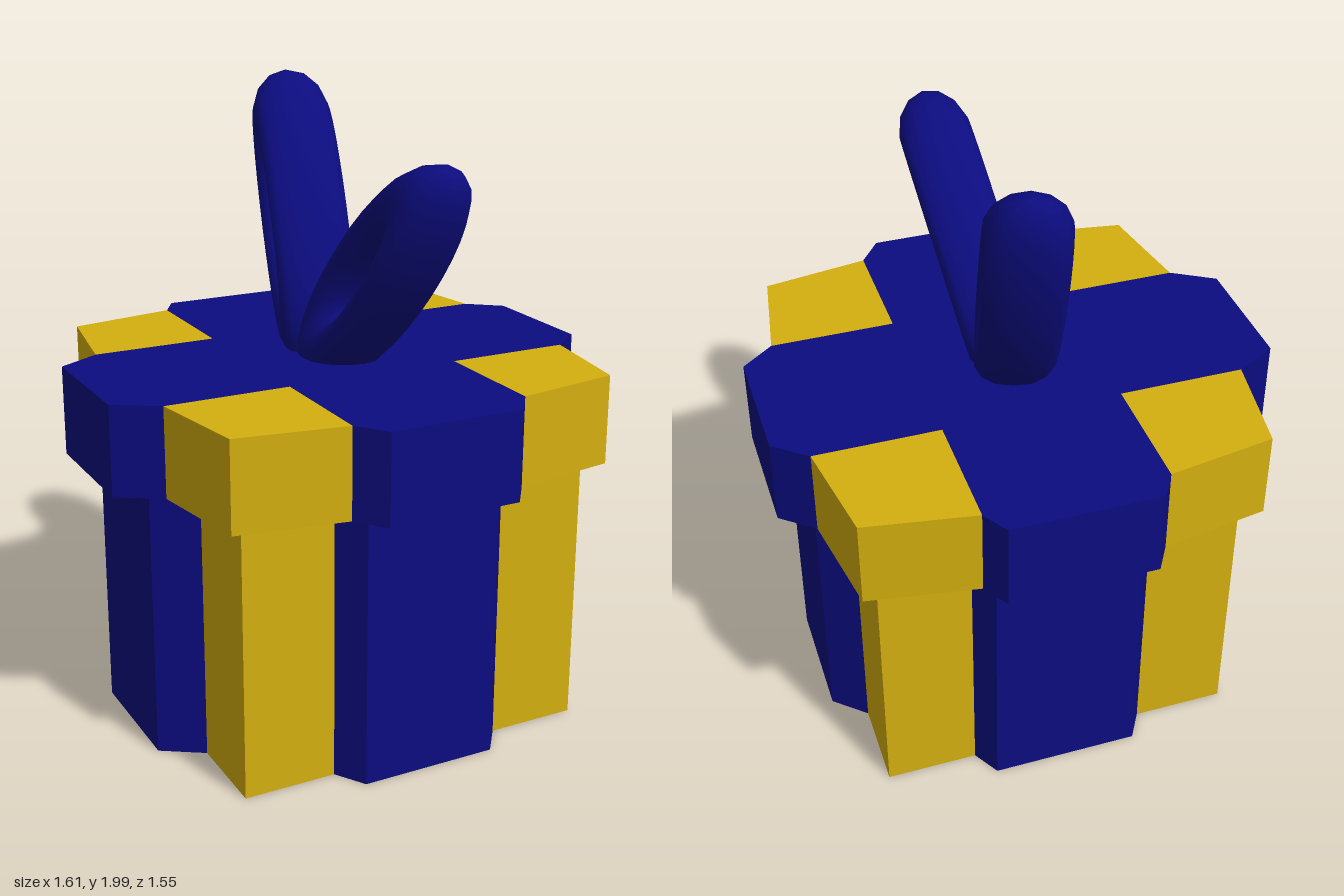
import * as THREE from 'three';

const gold = new THREE.MeshStandardMaterial({ color: 0xd4af10 });
const blue = new THREE.MeshStandardMaterial({ color: 0x0c0c80 });

// Upright prism over a floor outline given as [x, z] points
function prism(name, points, y0, y1, material) {
  const shape = new THREE.Shape(points.map(([x, z]) => new THREE.Vector2(x, -z)));
  const geometry = new THREE.ExtrudeGeometry(shape, { depth: y1 - y0, bevelEnabled: false });
  geometry.rotateX(-Math.PI / 2).translate(0, y0, 0);
  const mesh = new THREE.Mesh(geometry, material);
  mesh.name = name;
  return mesh;
}

// Cross-shaped ribbon with bevelled arms, and four paper corners between them
// s: x/z lines of the ribbon edges, p: where the arm bevels start, o: arm ends, c: outer paper corners
function layer(name, y0, y1, { s, p, o, c, f }) {
  const group = new THREE.Group();
  group.name = name;
  const { l, r, b, t } = s; // left (-x), right (+x), back (-z), front (+z)
  group.add(prism(name + 'Ribbon', [
    [f.bl, o.b], [f.br, o.b], [r, p.b], [r, b], [p.r, b], [o.r, f.rb],
    [o.r, f.rt], [p.r, t], [r, t], [r, p.t], [f.tr, o.t], [f.tl, o.t],
    [l, p.t], [l, t], [p.l, t], [o.l, f.lt], [o.l, f.lb], [p.l, b], [l, b], [l, p.b],
  ], y0, y1, blue));
  for (const i of ['l', 'r']) {
    for (const k of ['b', 't']) {
      group.add(prism(name + 'Corner', [
        [s[i], s[k]], [p[i], s[k]], [c[i], c[k]], [s[i], p[k]],
      ], y0, y1, gold));
    }
  }
  return group;
}

// Bow loop: stretched torus; along = long axis, across = short axis
function bowLoop(name, center, along, across, size) {
  const geometry = new THREE.TorusGeometry(1, 0.45, 14, 28);
  geometry.scale(size[0] / 1.45, size[1] / 1.45, size[2] / 0.45);
  const y = new THREE.Vector3(...along).normalize();
  const x = new THREE.Vector3(...across);
  x.addScaledVector(y, -x.dot(y)).normalize();
  const z = new THREE.Vector3().crossVectors(x, y);
  const mesh = new THREE.Mesh(geometry, blue);
  mesh.quaternion.setFromRotationMatrix(new THREE.Matrix4().makeBasis(x, y, z));
  mesh.position.set(...center);
  mesh.name = name;
  return mesh;
}

export function createModel() {
  const model = new THREE.Group();
  model.name = 'giftBox';

  const s = { l: -0.27, r: 0.3, b: -0.295, t: 0.283 };

  // Box
  model.add(layer('box', 0, 0.87, {
    s,
    p: { l: -0.565, r: 0.59, b: -0.578, t: 0.573 },
    c: { l: -0.565, r: 0.59, b: -0.578, t: 0.573 },
    o: { l: -0.695, r: 0.692, b: -0.662, t: 0.667 },
    f: { bl: -0.22, br: 0.25, tl: -0.21, tr: 0.23, lb: -0.22, lt: 0.2, rb: -0.205, rt: 0.2 },
  }));

  // Lid
  model.add(layer('lid', 0.87, 1.155, {
    s,
    p: { l: -0.672, r: 0.7, b: -0.695, t: 0.68 },
    c: { l: -0.617, r: 0.645, b: -0.638, t: 0.625 },
    o: { l: -0.808, r: 0.805, b: -0.778, t: 0.775 },
    f: { bl: -0.22, br: 0.25, tl: -0.2, tr: 0.23, lb: -0.22, lt: 0.2, rb: -0.21, rt: 0.2 },
  }));

  // Bow
  const bow = new THREE.Group();
  bow.name = 'bow';
  bow.add(
    bowLoop('frontLoop', [0.045, 1.445, 0.257], [0.11, 0.76, 0.65], [-0.22, -0.65, 0.76], [0.155, 0.49, 0.115]),
    bowLoop('backLoop', [0.035, 1.535, -0.232], [0.08, 0.9, -0.43], [-0.27, 0.43, 0.9], [0.147, 0.505, 0.125]),
  );
  model.add(bow);
  return model;
}
